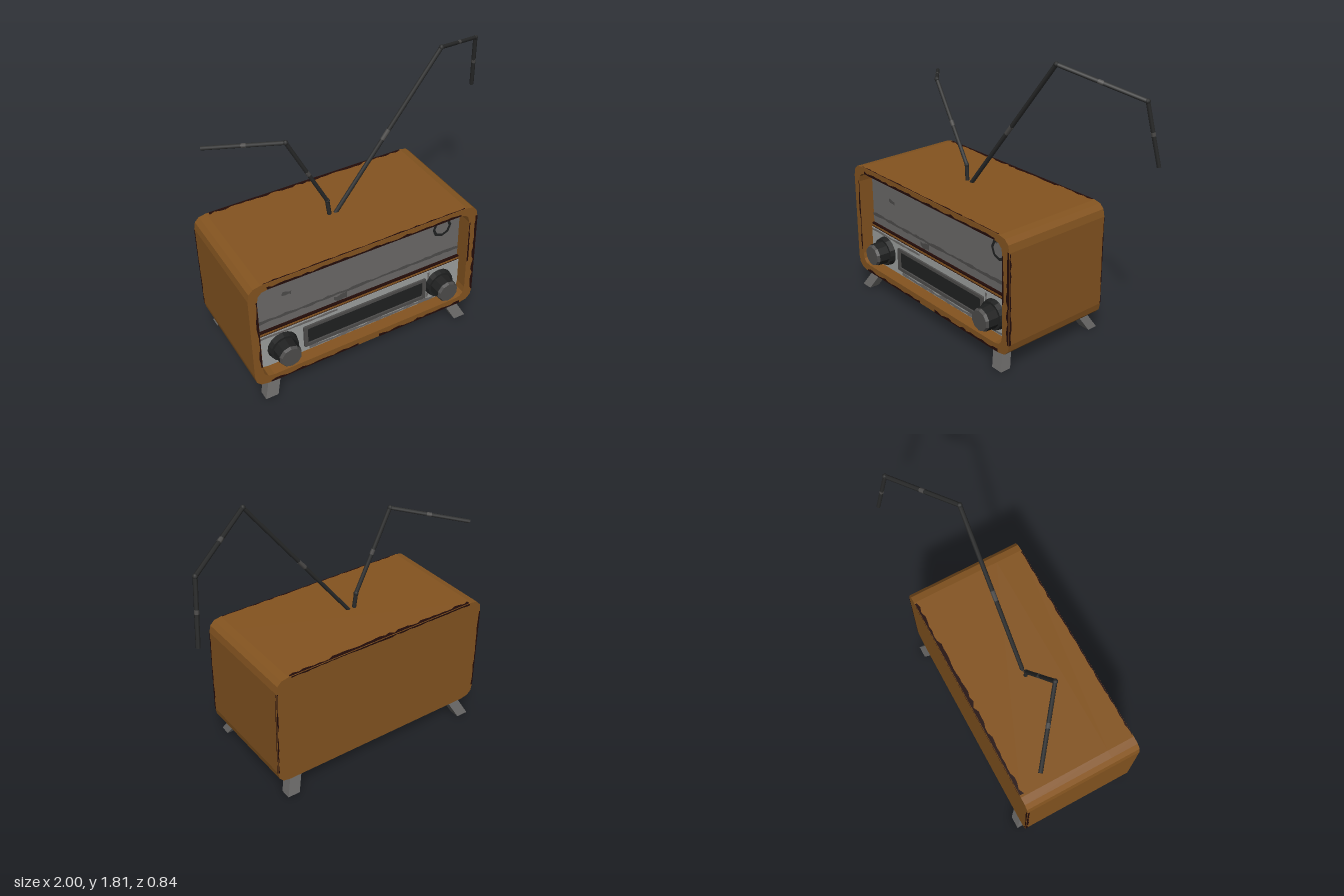
import * as THREE from 'three';

const mat = (name, color, extra = {}) => {
  const m = new THREE.MeshStandardMaterial({ color, ...extra });
  m.name = name;
  return m;
};

// Repeatable noise for the ragged wear
let seed = 7;
const rnd = () => {
  seed = (seed * 16807) % 2147483647;
  return seed / 2147483647;
};

// Rounded rectangle as a shape or a hole
function roundRect(p, x0, y0, x1, y1, r) {
  p.moveTo(x0 + r, y0);
  p.lineTo(x1 - r, y0);
  p.quadraticCurveTo(x1, y0, x1, y0 + r);
  p.lineTo(x1, y1 - r);
  p.quadraticCurveTo(x1, y1, x1 - r, y1);
  p.lineTo(x0 + r, y1);
  p.quadraticCurveTo(x0, y1, x0, y1 - r);
  p.lineTo(x0, y0 + r);
  p.quadraticCurveTo(x0, y0, x0 + r, y0);
  return p;
}

export function createModel() {
  seed = 7;
  const M = {
    wood: mat('brown wood', 0x845420),
    rust: mat('dark chipped edge', 0x230c09),
    grille: mat('grey grille', 0x6b6968),
    panel: mat('light panel', 0x9da09e),
    worn: mat('worn grey', 0x4d4c4b),
    black: mat('black', 0x202121),
    metal: mat('foot metal', 0x646362),
    rod: mat('antenna metal', 0x2a2b2b),
  };
  const root = new THREE.Group();
  root.name = 'tableRadio';
  const add = (name, geo, material, x = 0, y = 0, z = 0, parent = root) => {
    const m = new THREE.Mesh(geo, material);
    m.name = name;
    m.position.set(x, y, z);
    parent.add(m);
    return m;
  };
  const box = (name, m, x0, y0, z0, x1, y1, z1) =>
    add(name, new THREE.BoxGeometry(x1 - x0, y1 - y0, z1 - z0), m, (x0 + x1) / 2, (y0 + y1) / 2, (z0 + z1) / 2);

  // Cabinet: solid rear and an open front frame
  const L = -1, R = 0.555, B = 0.115, T = 0.88, F = 0.38, K = -0.385;
  const outline = () => roundRect(new THREE.Shape(), L, B, R, T, 0.085);
  const extrude = (s, depth) => new THREE.ExtrudeGeometry(s, { depth, bevelEnabled: false, curveSegments: 3 });
  add('cabinet', extrude(outline(), 0.2 - K), M.wood, 0, 0, K);
  const frame = outline();
  frame.holes.push(roundRect(new THREE.Path(), -0.945, 0.165, 0.495, 0.835, 0.07));
  add('frontFrame', extrude(frame, F - 0.2), M.wood, 0, 0, 0.2);

  // Recessed face: grille above, control panel below, strip between
  box('grille', M.grille, -0.96, 0.43, 0.19, 0.51, 0.85, 0.28);
  box('controlPanel', M.panel, -0.96, 0.15, 0.19, 0.51, 0.412, 0.3);
  box('dividerShadow', M.rust, -0.96, 0.41, 0.19, 0.51, 0.442, 0.297);
  box('divider', M.wood, -0.96, 0.42, 0.19, 0.51, 0.432, 0.3);

  // Dial window
  const dialFrame = roundRect(new THREE.Shape(), -0.635, 0.205, 0.24, 0.365, 0.008);
  dialFrame.holes.push(roundRect(new THREE.Path(), -0.61, 0.228, 0.217, 0.345, 0.008));
  add('dialFrame', extrude(dialFrame, 0.015), M.worn, 0, 0, 0.298);
  box('dialWindow', M.black, -0.61, 0.228, 0.297, 0.217, 0.345, 0.303);

  // Knobs with a wide skirt and a faceted cap
  for (const x of [-0.775, 0.34]) {
    const knob = new THREE.Group();
    knob.name = 'knob';
    knob.position.set(x, 0.29, 0);
    root.add(knob);
    const disc = (name, m, r0, r1, z0, z1, n) => {
      const g = new THREE.CylinderGeometry(r1, r0, z1 - z0, n).toNonIndexed();
      g.computeVertexNormals();
      g.rotateX(Math.PI / 2);
      add(name, g, m, 0, 0, (z0 + z1) / 2, knob);
    };
    disc('knobSkirt', M.black, 0.1, 0.092, 0.298, 0.335, 16);
    disc('knobSide', M.black, 0.078, 0.074, 0.335, 0.405, 10);
    disc('knobCap', M.worn, 0.074, 0.066, 0.405, 0.424, 10);
  }

  // Small ornament on the grille
  const ring = new THREE.RingGeometry(0.05, 0.07, 8);
  add('ornamentRing', ring, M.black, 0.36, 0.715, 0.286);
  for (const s of [-1, 1]) {
    const wing = new THREE.Shape([[0.02, 0.035], [0.1, 0.07], [0.045, 0.07]].map(([x, y]) => new THREE.Vector2(s * x, y)));
    add('ornamentWing', new THREE.ShapeGeometry(wing), M.black, 0.36, 0.715, 0.285);
  }

  // Splayed feet: boxes sheared outward
  for (const sx of [-1, 1]) for (const sz of [-1, 1]) {
    const g = new THREE.BoxGeometry(0.082, 0.125, 0.07);
    const p = g.attributes.position;
    for (let i = 0; i < p.count; i++) {
      if (p.getY(i) < 0) {
        p.setX(i, p.getX(i) + sx * 0.06);
        p.setZ(i, p.getZ(i) + sz * 0.065);
      }
    }
    const foot = g.toNonIndexed();
    foot.computeVertexNormals();
    add('foot', foot, M.metal, -0.222 + sx * 0.625, 0.0625, -0.01 + sz * 0.303);
  }

  // Bent antennas made of straight rods
  const up = new THREE.Vector3(0, 1, 0);
  const rod = (name, m, a, b, r) => {
    const d = b.clone().sub(a);
    const mid = a.clone().add(b).multiplyScalar(0.5);
    const mesh = add(name, new THREE.CylinderGeometry(r, r, d.length(), 6), m, mid.x, mid.y, mid.z);
    mesh.quaternion.setFromUnitVectors(up, d.normalize());
  };
  const antennas = {
    rightAntenna: [[-0.273, 0.86, 0], [-0.285, 0.98, -0.005], [-0.545, 1.488, 0.018], [-0.93, 1.41, -0.285]],
    leftAntenna: [[-0.245, 0.86, 0], [0.495, 1.792, -0.005], [0.935, 1.635, -0.26], [0.985, 1.255, -0.33]],
  };
  for (const [name, pts] of Object.entries(antennas)) {
    const v = pts.map((p) => new THREE.Vector3(...p));
    for (let i = 0; i < 3; i++) {
      rod(name, M.rod, v[i], v[i + 1], 0.0135);
      if (i) add(name + 'Joint', new THREE.IcosahedronGeometry(0.016, 1), M.rod, ...pts[i]);
      const at = (t) => v[i].clone().lerp(v[i + 1], t);
      if (i || name === 'leftAntenna') rod(name + 'Scuff', M.worn, at(0.46), at(0.52), 0.0142);
    }
  }

  // Ragged wear strips, drawn flat on one side of the cabinet
  const sides = {
    front: [[0, 0, 0], [0, 0, F + 0.002]],
    back: [[0, Math.PI, 0], [0, 0, K - 0.002]],
    top: [[-Math.PI / 2, 0, 0], [0, T + 0.002, 0]],
    left: [[0, Math.PI / 2, 0], [R + 0.002, 0, 0]],
    right: [[0, -Math.PI / 2, 0], [L - 0.002, 0, 0]],
    grille: [[0, 0, 0], [0, 0, 0.283]],
    panel: [[0, 0, 0], [0, 0, 0.303]],
  };
  // lo and hi are how far the strip may spread to each side of its line
  const wear = (side, m, x0, y0, x1, y1, lo, hi) => {
    const a = new THREE.Vector2(x0, y0), d = new THREE.Vector2(x1 - x0, y1 - y0);
    const len = d.length(), n = Math.max(4, Math.round(len / 0.035));
    const normal = new THREE.Vector2(-d.y, d.x).divideScalar(len);
    const edge = (t, w) => a.clone().addScaledVector(d, t).addScaledVector(normal, w);
    const under = [], over = [];
    for (let i = 0; i <= n; i++) {
      under.push(edge(i / n, -lo * (0.3 + 0.7 * rnd())));
      over.unshift(edge(1 - (n - i) / n, hi * (0.3 + 0.7 * rnd())));
    }
    const mesh = add(side + 'Wear', new THREE.ShapeGeometry(new THREE.Shape([...under, ...over])), m, ...sides[side][1]);
    mesh.rotation.set(...sides[side][0]);
  };
  wear('front', M.rust, -0.88, 0.837, 0.43, 0.837, 0.001, 0.022);
  wear('front', M.rust, -0.947, 0.26, -0.947, 0.77, 0.001, 0.016);
  wear('front', M.rust, 0.497, 0.76, 0.497, 0.45, 0.001, 0.012);
  wear('front', M.rust, 0.554, 0.2, 0.554, 0.8, 0.001, 0.024);
  wear('front', M.rust, -0.9, 0.116, -0.3, 0.116, 0.001, 0.02);
  wear('front', M.rust, -0.15, 0.116, 0.46, 0.116, 0.001, 0.022);
  wear('top', M.rust, 0.46, 0.384, -0.9, 0.384, 0, 0.028);
  wear('top', M.rust, -0.9, -0.379, 0.46, -0.379, 0, 0.012);
  wear('left', M.rust, -0.379, 0.2, -0.379, 0.79, 0, -0.018);
  wear('left', M.rust, 0.384, 0.2, 0.384, 0.79, 0, 0.008);
  wear('right', M.rust, -0.384, 0.2, -0.384, 0.79, 0, -0.018);
  wear('back', M.rust, -0.45, 0.879, 0.9, 0.879, 0.014, 0);
  wear('back', M.rust, 0.999, 0.2, 0.999, 0.79, 0, 0.016);
  wear('back', M.rust, -0.554, 0.79, -0.554, 0.2, 0, 0.012);
  wear('grille', M.worn, -0.945, 0.505, 0.495, 0.505, 0.014, 0.016);
  wear('grille', M.worn, -0.75, 0.665, -0.69, 0.655, 0.015, 0.02);
  wear('grille', M.worn, -0.41, 0.475, -0.32, 0.475, 0.03, 0.02);
  wear('panel', M.grille, -0.6, 0.177, 0.42, 0.177, 0.012, 0.022);
  wear('panel', M.grille, -0.94, 0.395, -0.4, 0.395, 0.006, 0.015);
  wear('panel', M.grille, 0.26, 0.2, 0.26, 0.4, 0.015, 0.012);

  return root;
}
